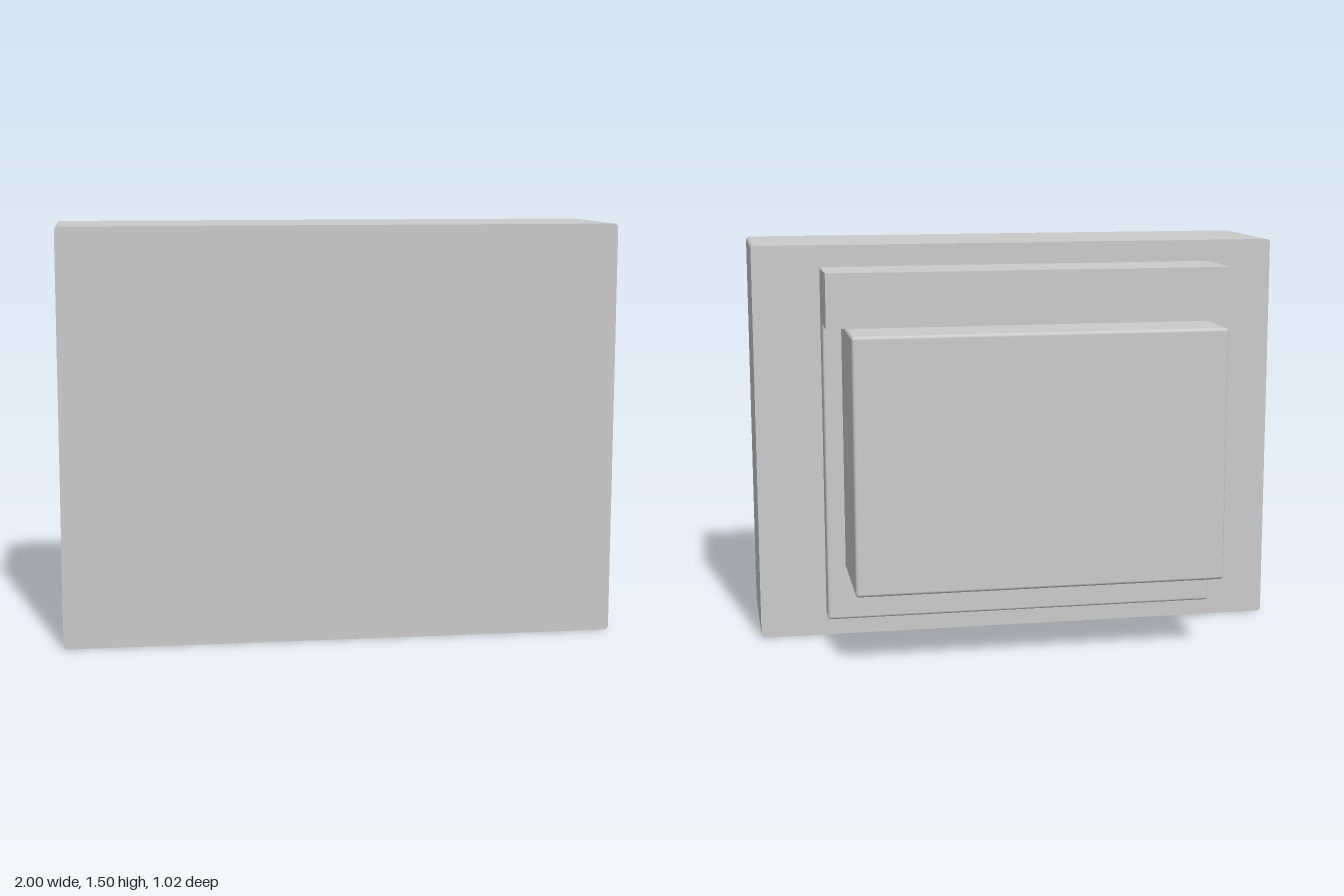
import * as THREE from 'three';
import { RoundedBoxGeometry } from 'three/addons/geometries/RoundedBoxGeometry.js';

const material = new THREE.MeshStandardMaterial({ color: 0xcccccc });

// Rectangle outline with small rounded corners
function roundedRect(x0, y0, x1, y1, r) {
  const s = new THREE.Shape();
  s.absarc(x1 - r, y0 + r, r, -Math.PI / 2, 0);
  s.absarc(x1 - r, y1 - r, r, 0, Math.PI / 2);
  s.absarc(x0 + r, y1 - r, r, Math.PI / 2, Math.PI);
  s.absarc(x0 + r, y0 + r, r, Math.PI, Math.PI * 1.5);
  s.closePath();
  return s;
}

// Box between two corners, centred on x, with optional rounded edges
function block(name, halfWidth, y0, y1, z0, z1, radius = 0) {
  const size = [halfWidth * 2, y1 - y0, z1 - z0];
  const geometry = radius
    ? new RoundedBoxGeometry(...size, 3, radius)
    : new THREE.BoxGeometry(...size);
  const mesh = new THREE.Mesh(geometry, material);
  mesh.name = name;
  mesh.position.set(0, (y0 + y1) / 2, (z0 + z1) / 2);
  return mesh;
}

export function createModel() {
  const model = new THREE.Group();
  model.name = 'steppedPanel';

  // Main front slab: rounded corners, sharp front and back rims
  const slab = new THREE.Mesh(
    new THREE.ExtrudeGeometry(roundedRect(-1, 0, 1, 1.5, 0.015), {
      depth: 0.51, bevelEnabled: false, curveSegments: 4,
    }),
    material,
  );
  slab.name = 'frontSlab';
  model.add(slab);

  // Thin plate on the back of the slab
  model.add(block('backPlate', 0.75, 0.085, 1.42, -0.092, 0, 0.01));
  // Square-edged ledge along the top of the plate
  model.add(block('topLedge', 0.75, 1.22, 1.42, -0.277, -0.092));
  // Rear housing, its inner end sunk into the plate
  model.add(block('rearHousing', 0.68, 0.285, 1.22, -0.51, -0.07, 0.012));

  return model;
}
